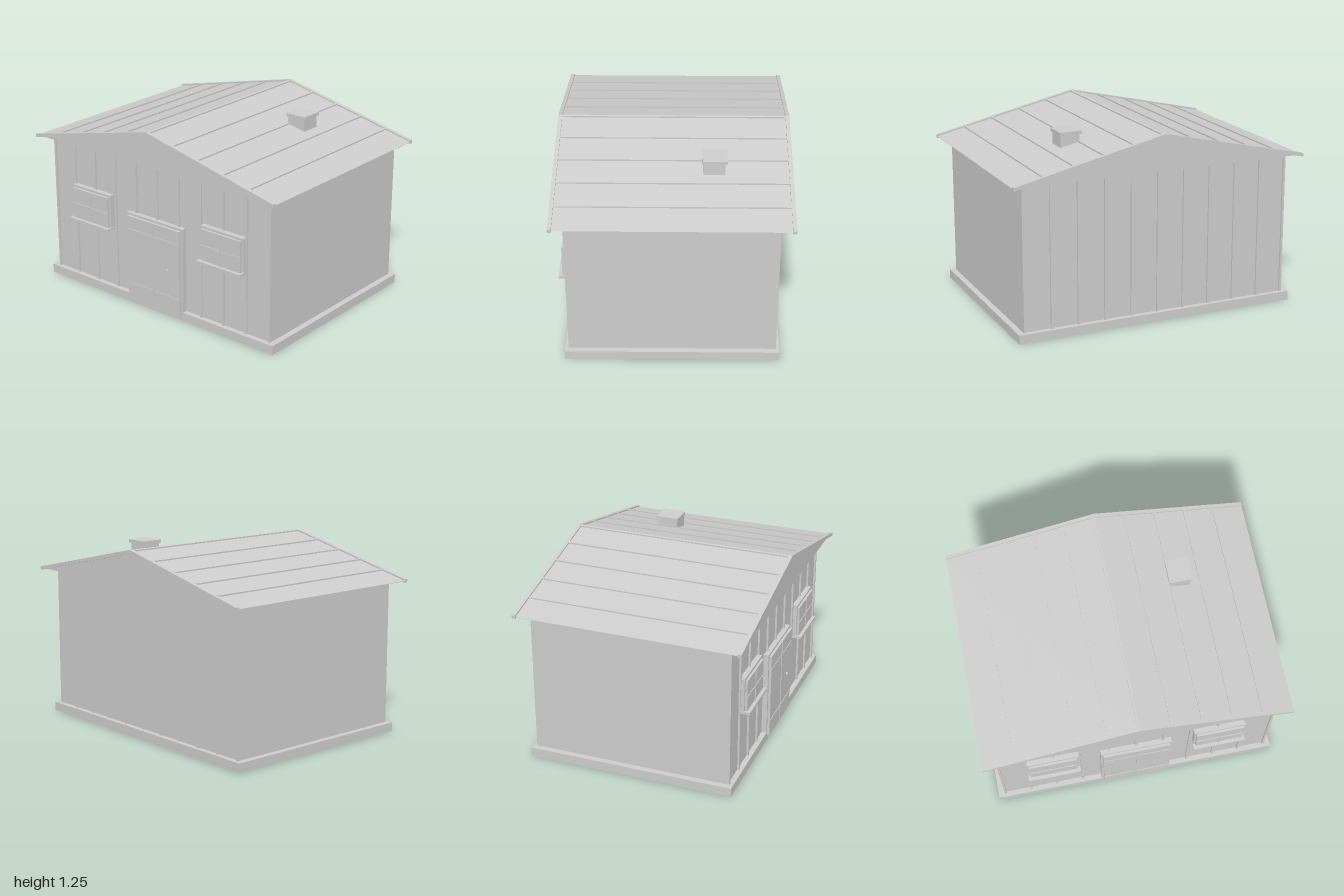
import * as THREE from 'three';

export function createModel() {
  const model = new THREE.Group();
  const grey = new THREE.MeshStandardMaterial({ color: 0xcccccc });
  grey.name = 'plain grey';

  const add = (name, geometry, parent = model) => {
    const mesh = new THREE.Mesh(geometry, grey);
    mesh.name = name;
    parent.add(mesh);
    return mesh;
  };
  // Box given by its extents on each axis
  const box = (name, x0, x1, y0, y1, z0, z1, parent) => {
    const g = new THREE.BoxGeometry(x1 - x0, y1 - y0, z1 - z0);
    g.translate((x0 + x1) / 2, (y0 + y1) / 2, (z0 + z1) / 2);
    return add(name, g, parent);
  };
  // Outline in x and y, extruded from z0 to z1
  const slab = (name, points, z0, z1, parent) => {
    const shape = new THREE.Shape(points.map(([x, y]) => new THREE.Vector2(x, y)));
    const g = new THREE.ExtrudeGeometry(shape, { depth: z1 - z0, bevelEnabled: false });
    g.translate(0, 0, z0);
    return add(name, g, parent);
  };

  // Foundation and walls
  box('foundation', -0.96, 0.96, 0, 0.06, -0.685, 0.685);
  box('walls', -0.92, 0.92, 0.06, 1.012, -0.65, 0.65);

  // Vertical battens on the front and back walls
  const battens = new THREE.Group();
  battens.name = 'wallBattens';
  model.add(battens);
  for (let i = -5; i <= 5; i++) {
    const x = i * 0.1825;
    for (const s of [-1, 1]) {
      const z = s * 0.655;
      box('batten', x - 0.0075, x + 0.0075, 0.06, 1.012, z - 0.0075, z + 0.0075, battens);
    }
  }

  // Closed roof with gables
  const roofY = (x) => 1.24 - 0.2275 * Math.abs(x);
  const roof = new THREE.Group();
  roof.name = 'roof';
  model.add(roof);
  slab('roofBody', [[-1, 1.01], [1, 1.01], [1, roofY(1)], [0, 1.24], [-1, roofY(1)]], -0.732, 0.732, roof);

  // Barge boards along both gable ends
  for (const s of [-1, 1]) {
    slab('bargeBoard', [[-1, 1.0], [0, 1.226], [1, 1.0], [1, 1.023], [0, 1.25], [-1, 1.023]],
      s * 0.7375 - 0.0125, s * 0.7375 + 0.0125, roof);
  }

  // Standing seams following each slope
  for (const s of [-1, 1]) {
    for (const d of [0.2, 0.4, 0.6, 0.8]) {
      const a = s * d - 0.0075, b = s * d + 0.0075;
      slab('roofSeam', [[a, roofY(a) - 0.003], [b, roofY(b) - 0.003], [b, roofY(b) + 0.009], [a, roofY(a) + 0.009]],
        -0.727, 0.727, roof);
    }
  }
  slab('ridgeCap', [[-0.013, 1.232], [0.013, 1.232], [0.013, 1.246], [0, 1.249], [-0.013, 1.246]], -0.727, 0.727, roof);

  // Chimney vent
  box('chimney', 0.395, 0.525, 1.09, 1.2, -0.327, -0.192);
  box('chimneyCap', 0.385, 0.535, 1.2, 1.222, -0.34, -0.185);

  // Door with frame, leaf, thin strips and knob
  const door = new THREE.Group();
  door.name = 'door';
  model.add(door);
  box('doorFrame', -0.24, 0.236, 0.06, 0.637, 0.64, 0.684, door);
  box('doorLeaf', -0.224, 0.22, 0.035, 0.622, 0.66, 0.701, door);
  box('doorStile', -0.004, 0.004, 0.035, 0.622, 0.698, 0.705, door);
  for (const y of [0.15, 0.53]) box('doorRail', -0.224, 0.22, y - 0.004, y + 0.004, 0.698, 0.705, door);
  const knob = add('doorKnob', new THREE.CylinderGeometry(0.01, 0.01, 0.013, 8).rotateX(Math.PI / 2), door);
  knob.position.set(0.122, 0.328, 0.706);

  // Two matching windows
  for (const s of [-1, 1]) {
    const win = new THREE.Group();
    win.name = s > 0 ? 'leftWindow' : 'rightWindow';
    win.position.x = s * 0.558;
    model.add(win);
    box('windowFrame', -0.172, 0.172, 0.47, 0.71, 0.64, 0.685, win);
    box('windowPane', -0.158, 0.158, 0.484, 0.694, 0.66, 0.7, win);
    box('mullion', -0.004, 0.004, 0.484, 0.694, 0.698, 0.705, win);
    box('transom', -0.158, 0.158, 0.581, 0.589, 0.698, 0.705, win);
    box('windowSill', -0.175, 0.175, 0.467, 0.484, 0.65, 0.724, win);
  }

  return model;
}
